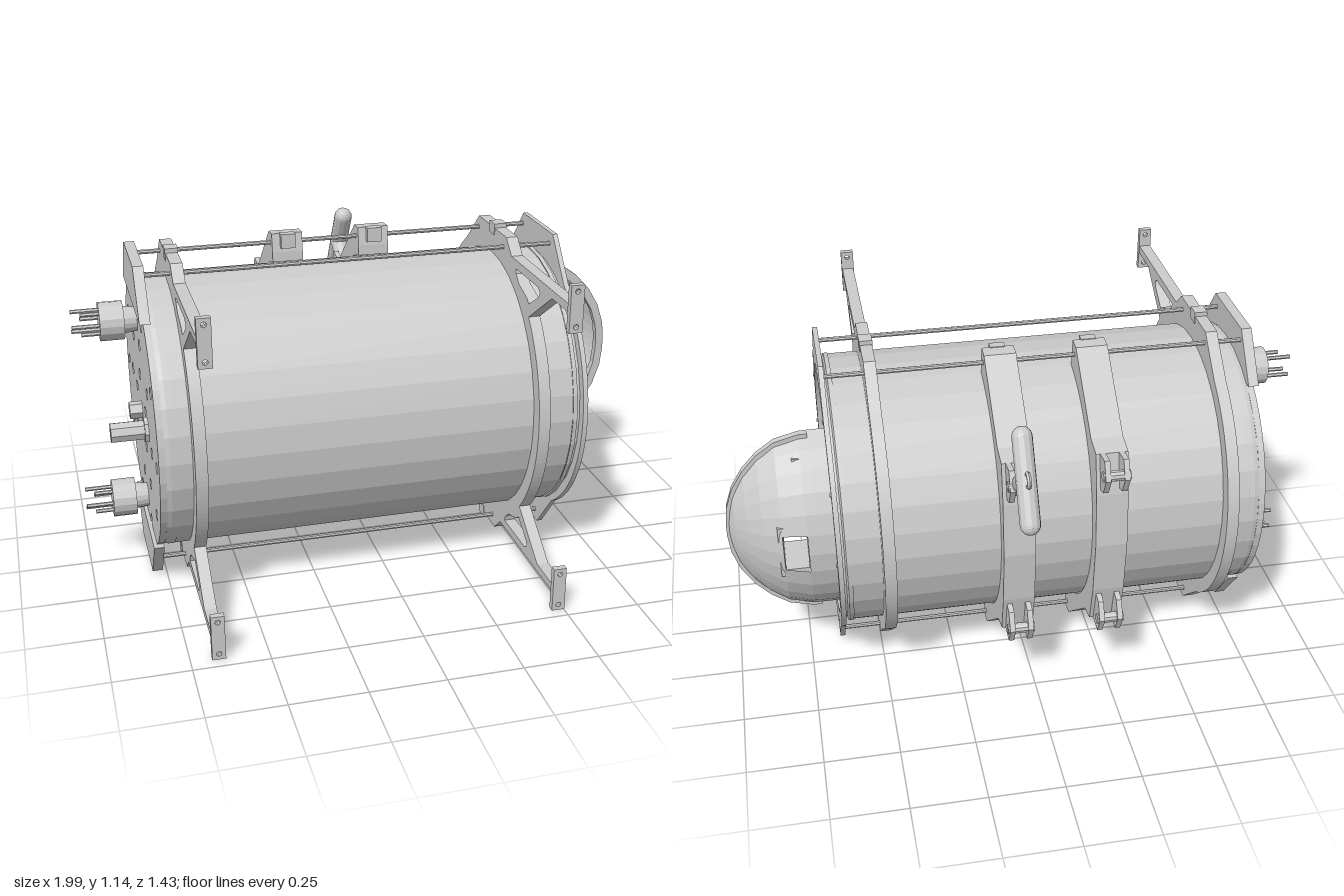
import * as THREE from 'three';

const mat = new THREE.MeshStandardMaterial({ color: 0xcccccc, flatShading: true, side: THREE.DoubleSide });

export function createModel() {
  // Everything is laid out round the drum axis, which runs along x.
  const root = new THREE.Group();
  root.name = 'pressureHousing';
  root.position.y = 0.57;

  const add = (name, geo, x = 0, y = 0, z = 0) => {
    const m = new THREE.Mesh(geo, mat);
    m.name = name;
    m.position.set(x, y, z);
    root.add(m);
    return m;
  };
  const V2 = (p) => new THREE.Vector2(p[0], p[1]);
  const poly = (pts) => new THREE.Shape(pts.map(V2));
  // Cross-section in (u = -z, v = y) extruded along x
  const slab = (name, shape, x0, x1) => {
    const g = new THREE.ExtrudeGeometry(shape, { depth: x1 - x0, bevelEnabled: false, curveSegments: 24 });
    return add(name, g.rotateY(Math.PI / 2), x0);
  };
  // Profile of [x, radius] turned about the x axis
  const turned = (name, pts, seg = 32, y = 0, z = 0) =>
    add(name, new THREE.LatheGeometry(pts.map(([x, r]) => new THREE.Vector2(r, x)), seg).rotateZ(-Math.PI / 2), 0, y, z);
  const rod = (name, a, b, r, seg = 8) => {
    const A = new THREE.Vector3(...a), B = new THREE.Vector3(...b);
    const m = add(name, new THREE.CylinderGeometry(r, r, A.distanceTo(B), seg));
    m.position.copy(A).lerp(B, 0.5);
    m.quaternion.setFromUnitVectors(new THREE.Vector3(0, 1, 0), B.sub(A).normalize());
    return m;
  };
  const box = (name, x, y, z, sx, sy, sz) => add(name, new THREE.BoxGeometry(sx, sy, sz), x, y, z);
  const circle = (u, v, r) => new THREE.Path().absarc(u, v, r, 0, Math.PI * 2, true);
  const rect = (u0, v0, u1, v1) => new THREE.Path([[u0, v0], [u1, v0], [u1, v1], [u0, v1]].map(V2));

  // Round plate outline with flat tabs at top and bottom
  const tabbed = (r, tabU, top) => {
    const s = new THREE.Shape(), a = Math.acos(tabU / r);
    s.moveTo(-0.14, top);
    s.lineTo(0.14, top);
    s.absarc(0, 0, r, a, -a, true);
    s.lineTo(0.14, -top);
    s.lineTo(-0.14, -top);
    s.absarc(0, 0, r, -Math.PI + a, -Math.PI - a, true);
    s.closePath();
    return s;
  };

  // Drum, end collars and inner lining
  turned('drum', [[-0.74, 0.46], [-0.73, 0.465], [0.6, 0.465], [0.61, 0.455], [0.61, 0.44]]);
  turned('rearCollar', [[-0.785, 0.44], [-0.785, 0.458], [-0.75, 0.466], [-0.73, 0.466]]);
  turned('frontCollar', [[0.6, 0.468], [0.615, 0.468], [0.62, 0.455], [0.635, 0.455]]);
  turned('liningRing', [[0.635, 0.435], [0.605, 0.435], [0.605, 0.4], [0.43, 0.395]], 40);

  // Front ring plate with bolts
  const front = tabbed(0.485, 0.26, 0.553);
  front.holes.push(circle(0, 0, 0.435));
  slab('frontRingPlate', front, 0.628, 0.645);
  for (let i = 0; i < 12; i++) {
    const a = (i / 12) * Math.PI * 2;
    rod('ringBolt', [0.64, 0.462 * Math.sin(a), 0.462 * Math.cos(a)], [0.649, 0.462 * Math.sin(a), 0.462 * Math.cos(a)], 0.007);
  }

  // Rear plate, perforated, with thicker tabs
  const rear = new THREE.Shape().absarc(0, 0, 0.463, 0, Math.PI * 2, false);
  [[0.13, 5, 0.3], [0.26, 8, 0.2], [0.39, 10, 0.1]].forEach(([r, n, o]) => {
    for (let i = 0; i < n; i++) {
      const a = o + (i / n) * Math.PI * 2;
      rear.holes.push(circle(r * Math.cos(a), r * Math.sin(a), 0.02));
    }
  });
  slab('rearPlate', rear, -0.787, -0.765);
  for (const s of [1, -1]) {
    slab('rearTab', poly([[-0.26, 0.4 * s], [0.26, 0.4 * s], [0.14, 0.555 * s], [-0.14, 0.555 * s]]), -0.8, -0.765);
  }

  // Inner mounting plate with slots, hub disc and blocks
  const inner = new THREE.Shape().absarc(0, 0, 0.397, 0, Math.PI * 2, false);
  for (const s of [1, -1]) {
    inner.holes.push(new THREE.Path([[-0.375, 0.02], [-0.25, 0.02], [-0.25, 0.17], [-0.28, 0.17], [-0.28, 0.13], [-0.34, 0.13]].map(([u, v]) => new THREE.Vector2(u, v * s))));
    inner.holes.push(new THREE.Path([[-0.21, 0.23], [-0.165, 0.23], [-0.165, 0.29], [-0.08, 0.31], [-0.08, 0.375], [-0.21, 0.32]].map(([u, v]) => new THREE.Vector2(u, v * s))));
    inner.holes.push(rect(-0.132, 0.2 * s, -0.108, 0.27 * s));
    inner.holes.push(rect(-0.02, 0.275 * s, 0.03, 0.385 * s));
    slab('mountBlock', poly([[0.07, 0.22 * s], [0.17, 0.22 * s], [0.17, 0.31 * s], [0.07, 0.31 * s]]), 0.45, 0.48);
    rod('mountPost', [0.45, 0.265 * s, -0.12], [0.58, 0.265 * s, -0.12], 0.025, 12);
  }
  slab('innerPlate', inner, 0.43, 0.455);
  const hub = new THREE.Shape().absarc(-0.04, 0, 0.175, 0, Math.PI * 2, false);
  [[-0.12, 0.125], [-0.12, -0.125]].forEach(([u, v]) => hub.holes.push(circle(u, v, 0.02)));
  slab('hubDisc', hub, 0.455, 0.475);
  for (const z of [0, 0.17]) rod('hubNut', [0.47, 0, z], [0.5, 0, z], 0.022, 6);

  // Two support frames with bracket arms and feet
  for (const x of [-0.66, 0.48]) {
    const ring = tabbed(0.513, 0.27, 0.555);
    ring.holes.push(circle(0, 0, 0.464));
    slab('supportFrame', ring, x - 0.02, x + 0.02);
    for (const s of [1, -1]) {
      const pts = (list) => list.map(([u, v]) => new THREE.Vector2(u, v * s));
      const arm = new THREE.Shape(pts([[-0.14, 0.505], [-0.69, 0.505], [-0.69, 0.478], [-0.56, 0.478], [-0.365, 0.345], [-0.25, 0.44], [-0.16, 0.49]]));
      arm.holes.push(new THREE.Path(pts([[-0.24, 0.476], [-0.44, 0.476], [-0.46, 0.463], [-0.45, 0.445], [-0.37, 0.395], [-0.35, 0.41], [-0.25, 0.44]])));
      slab('bracketArm', arm, x - 0.02, x + 0.02);
      const foot = poly([[-0.022, 0.415], [0.022, 0.415], [0.022, 0.57], [-0.022, 0.57]].map(([a, b]) => [a, b * s]));
      [0.435, 0.55].forEach((v) => foot.holes.push(circle(0, v * s, 0.009)));
      add('mountFoot', new THREE.ExtrudeGeometry(foot, { depth: 0.022, bevelEnabled: false, curveSegments: 4 }), x, 0, 0.69);
      box('frameTopBlock', x, 0.55 * s, 0, 0.044, 0.04, 0.05);
      // Tie rods
      if (x > 0) for (const z of [-0.14, 0.115]) rod('tieRod', [-0.79, 0.515 * s, z], [0.635, 0.515 * s, z], 0.008);
    }
  }

  // Two straps round the back of the drum, with latches
  const half = [[0.1, 0.49], [0.11, 0.553], [0.16, 0.55], [0.4, 0.345], [0.47, 0.33], [0.5, 0.19]];
  for (const x of [-0.247, 0.058]) {
    const s = poly([...half, [0.515, 0], ...half.map(([u, v]) => [u, -v]).reverse()]);
    s.absarc(0, 0, 0.466, -1.357, 1.357, false);
    slab('strap', s, x - 0.053, x + 0.053);
    for (const k of [1, -1]) {
      box('strapClip', x, 0.53 * k, -0.1, 0.05, 0.05, 0.03);
      slab('latchCheek', poly([[0.46, 0.2 * k], [0.53, 0.22 * k], [0.56, 0.28 * k], [0.53, 0.34 * k], [0.46, 0.33 * k]]), x - 0.04, x - 0.022);
      slab('latchCheek', poly([[0.46, 0.2 * k], [0.53, 0.22 * k], [0.56, 0.28 * k], [0.53, 0.34 * k], [0.46, 0.33 * k]]), x + 0.022, x + 0.04);
      rod('latchPin', [x - 0.045, 0.285 * k, -0.535], [x + 0.045, 0.285 * k, -0.535], 0.018, 10);
    }
  }

  // T-handle on the front-most strap
  const hx = 0.06;
  rod('handleStem', [hx, 0.24, -0.47], [hx, 0.36, -0.62], 0.032, 12);
  const grip = add('handleGrip', new THREE.CapsuleGeometry(0.033, 0.27, 5, 12), hx, 0.355, -0.615);
  grip.rotation.x = 0.55;
  const eye = add('handleEye', new THREE.TorusGeometry(0.02, 0.008, 6, 14), hx, 0.375, -0.645);
  eye.rotation.y = Math.PI / 2;

  // Rear connectors
  for (const y of [0.33, -0.325]) {
    turned('connector', [[-0.78, 0], [-0.78, 0.04], [-0.83, 0.045], [-0.83, 0.065], [-0.91, 0.065], [-0.91, 0]], 16, y);
    for (let i = 0; i < 6; i++) {
      const a = (i / 6) * Math.PI * 2, py = y + 0.04 * Math.sin(a), pz = 0.04 * Math.cos(a);
      rod('connectorPin', [-0.9, py, pz], [i % 2 ? -0.97 : -1.0, py, pz], 0.007, 6);
    }
  }
  turned('rearValve', [[-0.78, 0.045], [-0.8, 0.045], [-0.8, 0.034], [-0.91, 0.034], [-0.91, 0.016], [-0.82, 0.016]], 8, 0, 0.17);
  rod('rearNut', [-0.785, 0, 0], [-0.83, 0, 0], 0.03, 6);

  // Half dome with a rectangular window
  const rows = [[0.6, 0.393], [0.7, 0.392], [0.73, 0.391], [0.81, 0.372], [0.87, 0.335], [0.92, 0.29], [0.96, 0.242], [0.985, 0.2], [0.992, 0.181]];
  const cut = 0.18, cols = 12, pos = [], idx = [];
  rows.forEach(([x, r], i) => {
    const A = Math.acos(cut / r);
    for (let j = 0; j <= cols; j++) {
      const t = A * ((2 * j) / cols - 1);
      pos.push(x, r * Math.sin(t), -r * Math.cos(t));
      if (i && j && !(i === 3 && (j === 6 || j === 7))) {
        const d = i * (cols + 1) + j, c = d - 1, b = d - cols - 1, a = b - 1;
        idx.push(a, b, c, b, d, c);
      }
    }
  });
  const dome = new THREE.BufferGeometry();
  dome.setAttribute('position', new THREE.Float32BufferAttribute(pos, 3));
  dome.setIndex(idx);
  dome.computeVertexNormals();
  add('domeShell', dome);

  // Rim of the dome, inner arc bracket and window tunnel
  const edge = rows.slice(1).map(([x, r]) => [x - 0.05, Math.sqrt(r * r - cut * cut)]);
  const outline = [...edge, ...edge.map(([x, y]) => [x, -y]).reverse()].map(([x, y]) => [x + 0.05, y]);
  const rim = poly(outline);
  rim.holes.push(new THREE.Path(outline.map(([x, y]) => new THREE.Vector2(0.715 + (x - 0.7) * 0.85, y * 0.88))));
  const flat = (name, shape, z0, z1) =>
    add(name, new THREE.ExtrudeGeometry(shape, { depth: z1 - z0, bevelEnabled: false, curveSegments: 16 }), 0, 0, z0);
  flat('domeRim', rim, -0.205, -0.18);
  const arc = new THREE.Shape();
  arc.absarc(0.66, 0, 0.235, -1.0, 1.0, false);
  arc.absarc(0.66, 0, 0.19, 1.0, -1.0, true);
  for (let i = -3; i <= 3; i++) arc.holes.push(circle(0.66 + 0.2125 * Math.cos(i * 0.27), 0.2125 * Math.sin(i * 0.27), 0.011));
  flat('arcBracket', arc, -0.23, -0.2);
  const frame = poly([[0.71, -0.095], [0.825, -0.095], [0.825, 0.095], [0.71, 0.095]]);
  frame.holes.push(rect(0.732, -0.07, 0.808, 0.07));
  flat('windowTunnel', frame, -0.36, -0.2);
  for (const s of [1, -1]) {
    box('sideRail', 0.73, 0.19 * s, -0.24, 0.055, 0.2, 0.04);
    for (let i = 0; i < 4; i++) rod('railKnob', [0.735, (0.12 + i * 0.045) * s, -0.22], [0.735, (0.12 + i * 0.045) * s, -0.205], 0.016, 10);
    box('domeBracket', 0.68, 0.085 * s, -0.24, 0.09, 0.025, 0.05);
  }
  return root;
}
